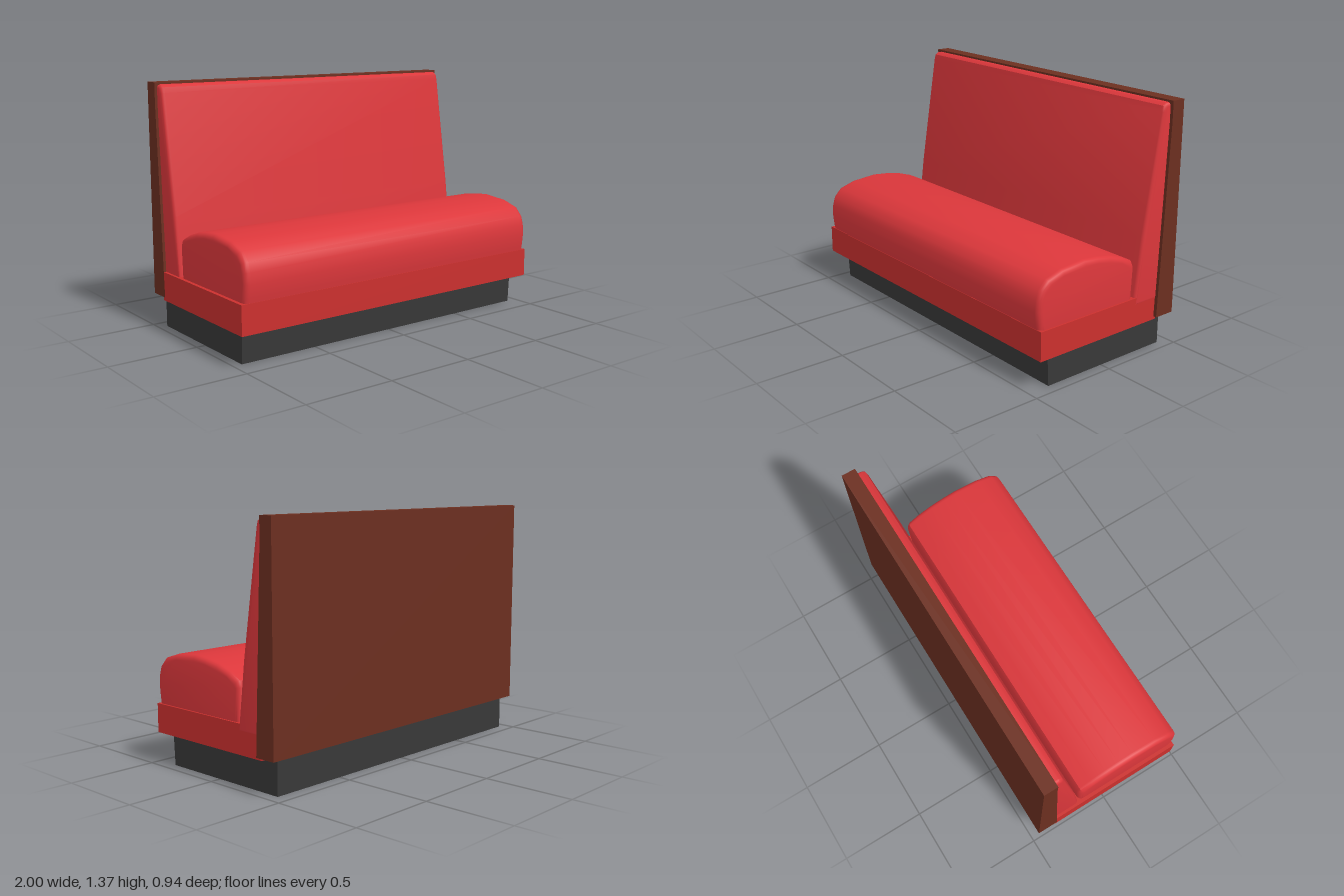
import * as THREE from 'three';
import { toCreasedNormals } from 'three/addons/utils/BufferGeometryUtils.js';

const material = (color, side = THREE.FrontSide) => new THREE.MeshStandardMaterial({ color, side });

// Sweeps a side profile of [z, y] points along x, with rounded ends of size bevel.
function sideExtrusion(name, profile, x0, x1, bevel, mat) {
  const shape = new THREE.Shape(profile.map(([z, y]) => new THREE.Vector2(z, y)));
  let geometry = new THREE.ExtrudeGeometry(shape, {
    depth: x1 - x0 - 2 * bevel,
    bevelEnabled: bevel > 0,
    bevelSize: bevel,
    bevelThickness: bevel,
    bevelOffset: -bevel,
    bevelSegments: 4,
  });
  geometry.rotateY(-Math.PI / 2);
  geometry.translate(x1 - bevel, 0, 0);
  geometry = toCreasedNormals(geometry, 0.65);
  const mesh = new THREE.Mesh(geometry, mat);
  mesh.name = name;
  return mesh;
}

// Hollow plinth: four thin walls, the front one leaning slightly inward at the floor.
function createPlinth(mat) {
  const ring = (y, zFront) => [[-0.95, y, zFront], [0.94, y, zFront], [0.94, y, -0.43], [-0.95, y, -0.43]];
  const low = ring(0, 0.37);
  const high = ring(0.19, 0.38);
  const points = [];
  for (let i = 0; i < 4; i++) {
    const j = (i + 1) % 4;
    points.push(...low[i], ...low[j], ...high[j], ...low[i], ...high[j], ...high[i]);
  }
  const geometry = new THREE.BufferGeometry();
  geometry.setAttribute('position', new THREE.Float32BufferAttribute(points, 3));
  geometry.computeVertexNormals();
  const mesh = new THREE.Mesh(geometry, mat);
  mesh.name = 'plinth';
  return mesh;
}

export function createModel() {
  const group = new THREE.Group();
  group.name = 'boothBench';
  const upholstery = material(0xdc373b);
  const frameRed = material(0xcb302e);
  const wood = material(0x6c2f20);

  group.add(createPlinth(material(0x383838, THREE.DoubleSide)));

  // Upholstered box under the cushion
  const seatBox = new THREE.Mesh(new THREE.BoxGeometry(1.98, 0.16, 0.82), frameRed);
  seatBox.name = 'seatBox';
  seatBox.position.set(-0.01, 0.255, 0.05);
  group.add(seatBox);

  // Crowned seat cushion, its underside sunk into the box
  group.add(sideExtrusion('seatCushion', [
    [0.45, 0.29], [0.462, 0.36], [0.47, 0.43], [0.465, 0.49], [0.45, 0.54], [0.405, 0.588],
    [0.31, 0.618], [0.16, 0.632], [0.07, 0.624], [-0.02, 0.609], [-0.11, 0.58],
    [-0.18, 0.545], [-0.195, 0.51], [-0.185, 0.29],
  ], -0.98, 0.97, 0.03, upholstery));

  // Sloping padded backrest
  group.add(sideExtrusion('backrest', [
    [-0.19, 0.29], [-0.235, 0.66], [-0.338, 1.31], [-0.346, 1.34], [-0.365, 1.354],
    [-0.43, 1.354], [-0.43, 0.29],
  ], -0.985, 0.982, 0.02, upholstery));

  // Wooden back panel, thicker toward the bottom
  group.add(sideExtrusion('backPanel', [
    [-0.345, 0.192], [-0.388, 1.25], [-0.388, 1.365], [-0.468, 1.365], [-0.468, 0.192],
  ], -1, 1, 0, wood));

  return group;
}
